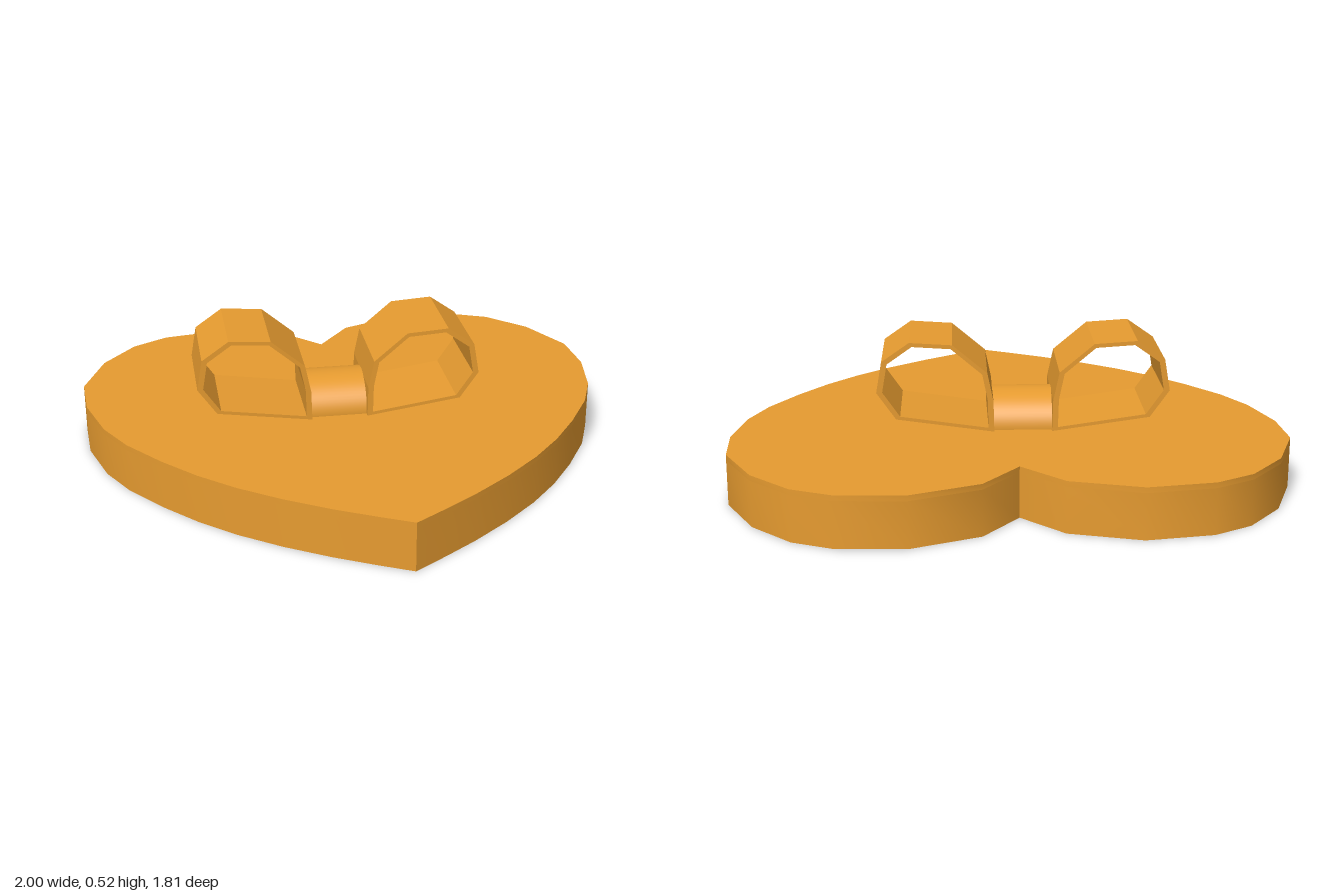
import * as THREE from 'three';
import { toCreasedNormals } from 'three/addons/utils/BufferGeometryUtils.js';

const color = 0xe69b30;
const smooth = new THREE.MeshStandardMaterial({ color });
const faceted = new THREE.MeshStandardMaterial({ color, flatShading: true });

const HEIGHT = 0.185; // top of the lid
const PLATE = 0.02;   // thickness of the lid's top

// Right half of the heart as [x, z], from the notch to the tip
const HALF_HEART = [
  [0, -0.66], [0.14, -0.82], [0.39, -0.905], [0.63, -0.88], [0.77, -0.81], [0.905, -0.66],
  [1, -0.44], [1, -0.24], [0.95, -0.03], [0.88, 0.12], [0.77, 0.28], [0.66, 0.415],
  [0.54, 0.535], [0.4, 0.65], [0.25, 0.755], [0.12, 0.835], [0, 0.905],
];

// Ribbon loop section as [x, y], measured from the middle of the bow
const LOOP = [
  [0.105, 0.185], [0.46, 0.235], [0.53, 0.335], [0.51, 0.45],
  [0.41, 0.52], [0.255, 0.51], [0.13, 0.405], [0.108, 0.3],
];

const toVectors = (points) => points.map(([x, y]) => new THREE.Vector2(x, y));

function heartOutline(scale) {
  const left = HALF_HEART.slice(1, -1).reverse().map(([x, z]) => [-x, z]);
  return toVectors([...HALF_HEART, ...left].map(([x, z]) => [x * scale, -z * scale]));
}

// Outline with a hole; the hole runs the other way round so its walls face inwards
function ringShape(outer, inner) {
  const shape = new THREE.Shape(outer);
  shape.holes.push(new THREE.Path(inner.reverse()));
  return shape;
}

function addMesh(parent, name, geometry, material) {
  const mesh = new THREE.Mesh(geometry, material);
  mesh.name = name;
  parent.add(mesh);
}

// Heart slab lying flat, with its underside at y
function heartSlab(shape, y, depth) {
  const geometry = new THREE.ExtrudeGeometry(shape, { depth, bevelEnabled: false });
  geometry.rotateX(-Math.PI / 2).translate(0, y, 0);
  return toCreasedNormals(geometry, 0.65);
}

// Closed ribbon band, extruded front to back
function ribbonLoop(side) {
  const [cx, cy] = [0.315, 0.352];
  const outer = LOOP.map(([x, y]) => [x * side, y]);
  const inner = LOOP.map(([x, y]) => [side * (cx + (x - cx) * 0.9), cy + (y - cy) * 0.91]);
  const shape = ringShape(toVectors(outer), toVectors(inner));
  const depth = 0.34;
  return new THREE.ExtrudeGeometry(shape, { depth, bevelEnabled: false }).translate(0, 0, -depth / 2);
}

export function createModel() {
  const model = new THREE.Group();
  model.name = 'heartBoxLid';

  // Lid: hollow rim closed by a thin top plate
  const rim = ringShape(heartOutline(1), heartOutline(0.95));
  addMesh(model, 'lidRim', heartSlab(rim, 0, HEIGHT - PLATE), smooth);
  addMesh(model, 'lidTop', heartSlab(new THREE.Shape(heartOutline(1)), HEIGHT - PLATE, PLATE), smooth);

  // Bow: two mirrored loops and a rounded knot, turned slightly on the lid
  const bow = new THREE.Group();
  bow.name = 'bow';
  bow.position.set(-0.065, 0, -0.107);
  bow.rotation.y = -0.061;
  model.add(bow);
  addMesh(bow, 'leftLoop', ribbonLoop(1), faceted);
  addMesh(bow, 'rightLoop', ribbonLoop(-1), faceted);

  const knot = new THREE.CylinderGeometry(1, 1, 1, 32, 1, false, 0, Math.PI);
  knot.rotateZ(Math.PI / 2).scale(0.23, 0.122, 0.15).translate(0, HEIGHT, 0);
  addMesh(bow, 'knot', knot, smooth);

  return model;
}
